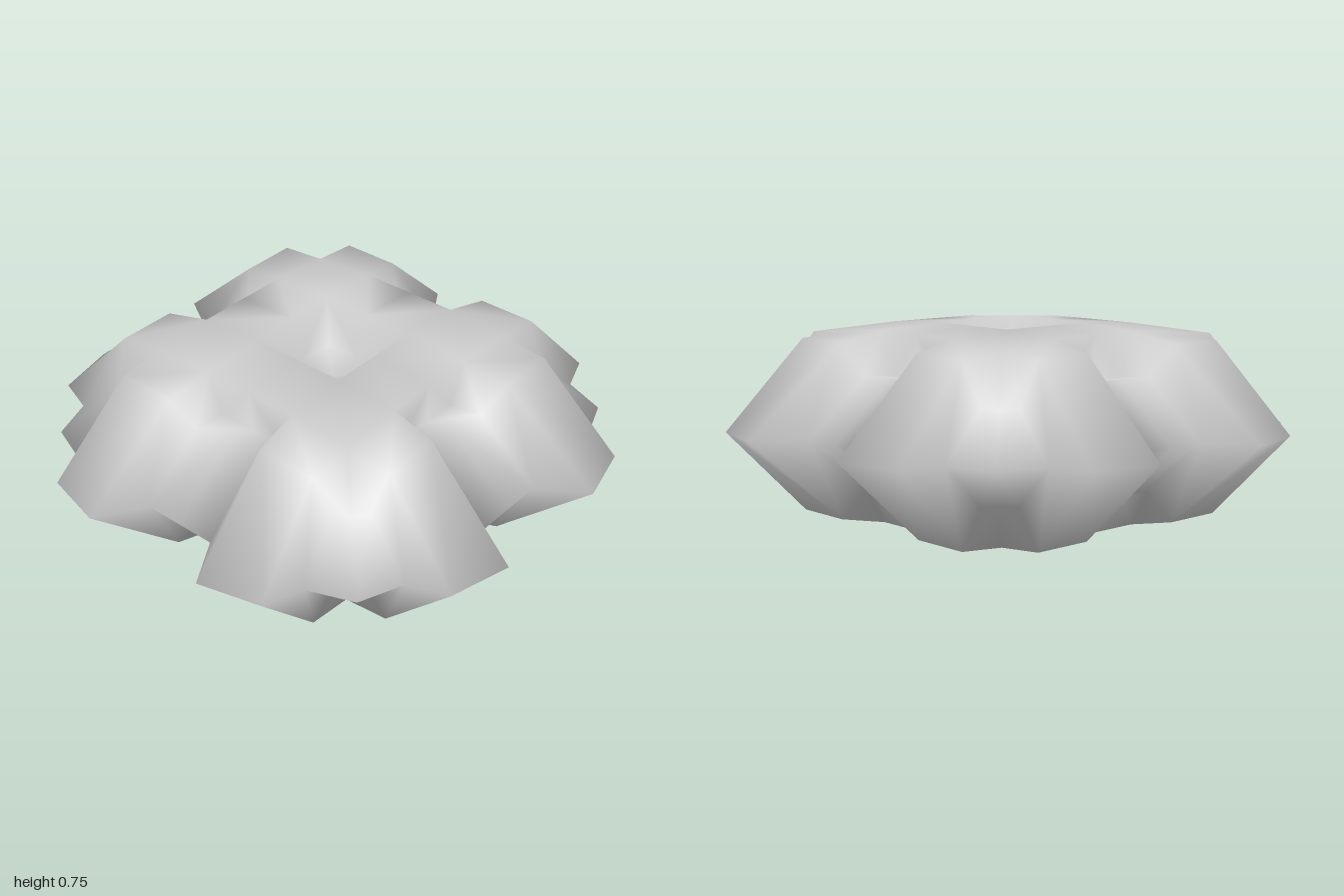
import * as THREE from 'three';
import { mergeVertices } from 'three/addons/utils/BufferGeometryUtils.js';

const MID = 0.375; // height of the rim, the plane of top/bottom symmetry

// Control points of one eighth of the upper half (0 <= x <= z)
const P = {
  O: [0, 0.575, 0],
  // pit floor and ring, on the centre line and at the diagonal
  A0: [0, 0.58, 0.15], A: [0.15, 0.58, 0.15],
  B0: [0, 0.75, 0.2], B: [0.2, 0.75, 0.2],
  E0: [0, 0.735, 0.45], E: [0.2, 0.735, 0.45], F: [0.45, 0.715, 0.45],
  // side channel: foot, brow, rim
  K0: [0, 0.57, 0.44], K: [0.145, 0.57, 0.44],
  L0: [0, 0.585, 0.57], L: [0.145, 0.585, 0.57],
  N0: [0, MID, 0.82], N: [0.15, MID, 0.82],
  // large tooth: shoulder and tip
  G: [0.22, 0.7, 0.63], H: [0.45, 0.7, 0.63],
  I: [0.26, MID, 1], J: [0.5, MID, 0.94],
  // small corner tooth
  Q: [0.51, 0.54, 0.6], D: [0.56, 0.535, 0.56],
  R: [0.555, MID, 0.79], S: [0.725, MID, 0.725],
};

const FACES = [
  'O A0 A', 'A0 B0 B A',                                      // pit
  'B0 E0 E B', 'B E F',                                       // raised ring
  'E0 K0 K E', 'K0 L0 L K', 'L0 N0 N L',                      // channel
  'E K L G', 'G L N I', 'E G H F', 'G I J H', 'H J R Q',      // large tooth
  'H Q D F', 'Q R S D',                                       // corner tooth
].map((f) => f.split(' '));

export function createModel() {
  const pos = [];

  // Mirror the eighth across x, y, z and the diagonal
  for (const sx of [1, -1]) for (const sy of [1, -1]) for (const sz of [1, -1]) {
    for (const swap of [false, true]) {
      const flip = (sx * sy * sz < 0) !== swap;
      const place = (name) => {
        const [x, y, z] = P[name];
        const [u, w] = swap ? [z, x] : [x, z];
        // adding 0 turns -0 into 0 so seams weld
        return [sx * u + 0, MID + sy * (y - MID), sz * w + 0];
      };
      for (const face of FACES) {
        for (let i = 1; i < face.length - 1; i++) {
          const tri = [face[0], face[i], face[i + 1]];
          if (flip) tri.reverse();
          tri.forEach((n) => pos.push(...place(n)));
        }
      }
    }
  }

  // Weld everything for smooth shading
  let geo = new THREE.BufferGeometry();
  geo.setAttribute('position', new THREE.Float32BufferAttribute(pos, 3));
  geo = mergeVertices(geo, 1e-4);
  geo.computeVertexNormals();

  const body = new THREE.Mesh(geo, new THREE.MeshStandardMaterial({ color: 0xcccccc }));
  body.name = 'lobedBody';
  const group = new THREE.Group();
  group.name = 'lobedDisc';
  group.add(body);
  return group;
}
